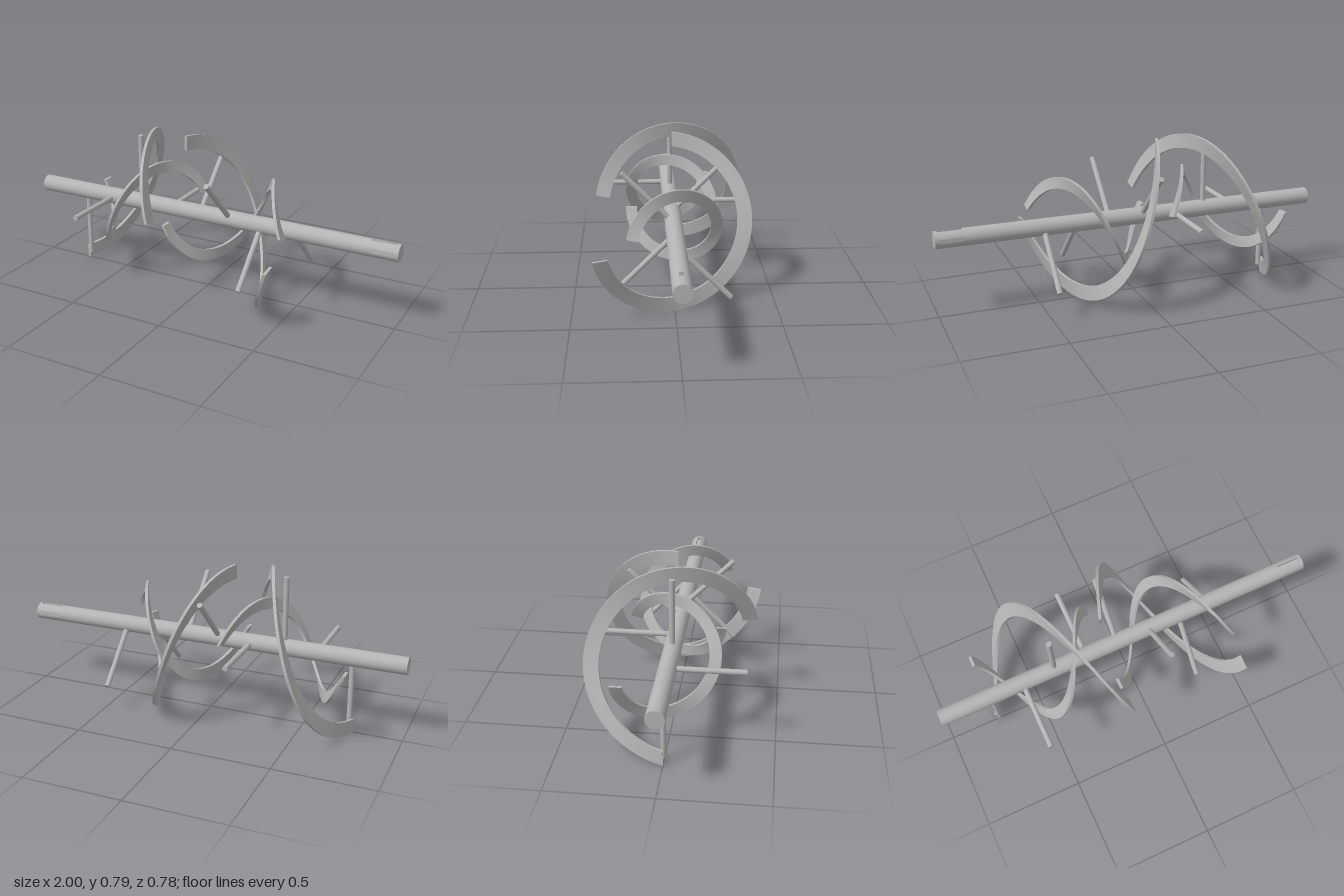
import * as THREE from 'three';
import { toCreasedNormals } from 'three/addons/utils/BufferGeometryUtils.js';

const CY = 0.393; // height of the shaft axis
const SHAFT_R = 0.043;
const rad = THREE.MathUtils.degToRad;

// Flat helical ribbon around the x axis. Angles run from up (0) to front (90).
function ribbonGeometry(x0, x1, rIn, rOut, startDeg, sweepDeg) {
  const steps = 58, half = 0.0075;
  const pos = [], index = [];
  const quad = (a, b, c, d) => index.push(a, b, c, a, c, d);
  for (let i = 0; i <= steps; i++) {
    const t = sweepDeg > 0 ? i / steps : 1 - i / steps; // always rising angle
    const x = THREE.MathUtils.lerp(x0, x1, t);
    const a = rad(startDeg + sweepDeg * t);
    for (const [dx, r] of [[-half, rIn], [half, rIn], [half, rOut], [-half, rOut]]) {
      pos.push(x + dx, r * Math.cos(a), r * Math.sin(a));
    }
  }
  for (let i = 0; i < steps; i++) {
    for (let j = 0; j < 4; j++) {
      const k = (j + 1) % 4, n = i * 4;
      quad(n + j, n + k, n + 4 + k, n + 4 + j);
    }
  }
  const e = steps * 4;
  quad(0, 3, 2, 1);
  quad(e, e + 1, e + 2, e + 3);
  const geo = new THREE.BufferGeometry();
  geo.setAttribute('position', new THREE.Float32BufferAttribute(pos, 3));
  geo.setIndex(index);
  return toCreasedNormals(geo, rad(35));
}

export function createModel() {
  const model = new THREE.Group();
  model.name = 'ribbonMixer';
  const steel = new THREE.MeshStandardMaterial({ color: 0xb4b4b4 });
  steel.name = 'steel grey';

  const add = (parent, name, geo) => {
    const mesh = new THREE.Mesh(geo, steel);
    mesh.name = name;
    parent.add(mesh);
    return mesh;
  };

  // Shaft: plain round lengths on either side of a keyed section
  const shaft = new THREE.Group();
  shaft.name = 'shaft';
  shaft.position.y = CY;
  model.add(shaft);
  const keyStart = 0.865, keyEnd = 0.985;
  for (const [name, a, b] of [['shaftMain', -1, keyStart], ['shaftTip', keyEnd, 1]]) {
    const geo = new THREE.CylinderGeometry(SHAFT_R, SHAFT_R, b - a, 48);
    geo.rotateZ(-Math.PI / 2);
    geo.translate((a + b) / 2, 0, 0);
    add(shaft, name, geo);
  }

  // Keyed section with a slot cut in its top
  const slotHalf = 0.011, slotFloor = SHAFT_R - 0.018;
  const slotAngle = Math.asin(slotHalf / SHAFT_R);
  const section = new THREE.Shape();
  section.moveTo(-slotHalf, slotFloor);
  section.lineTo(slotHalf, slotFloor);
  section.absarc(0, 0, SHAFT_R, Math.PI / 2 - slotAngle, Math.PI / 2 + slotAngle, true);
  section.closePath();
  const keyed = new THREE.ExtrudeGeometry(section, {
    depth: keyEnd - keyStart, bevelEnabled: false, curveSegments: 48,
  });
  keyed.rotateY(Math.PI / 2);
  keyed.translate(keyStart, 0, 0);
  add(shaft, 'keywaySection', toCreasedNormals(keyed, rad(30)));

  // Spokes: four upright and level, then four diagonal
  const spokeAngles = [180, 90, 0, 270, 315, 45, 135, 225];
  spokeAngles.forEach((deg, i) => {
    const length = 0.36;
    const geo = new THREE.CylinderGeometry(0.0135, 0.0135, length, 24);
    geo.translate(0, length / 2, 0);
    const spoke = add(model, 'spoke' + (i + 1), geo);
    spoke.position.set(-0.733 + i * 0.1714, CY, 0);
    spoke.rotation.x = rad(deg);
  });

  // Ribbons: an outer and an inner one of opposite hand in each half
  const ribbons = [
    ['outerRibbonRight', -0.75, 0.32, 0.393, 180, 261],
    ['outerRibbonLeft', -0.128, 0.32, 0.393, 0, -261],
    ['innerRibbonRight', -0.75, 0.179, 0.236, -90, -348],
    ['innerRibbonLeft', -0.128, 0.179, 0.236, 90, 348],
  ];
  for (const [name, x, rIn, rOut, start, sweep] of ribbons) {
    add(model, name, ribbonGeometry(x, x + 0.62, rIn, rOut, start, sweep)).position.y = CY;
  }
  return model;
}
